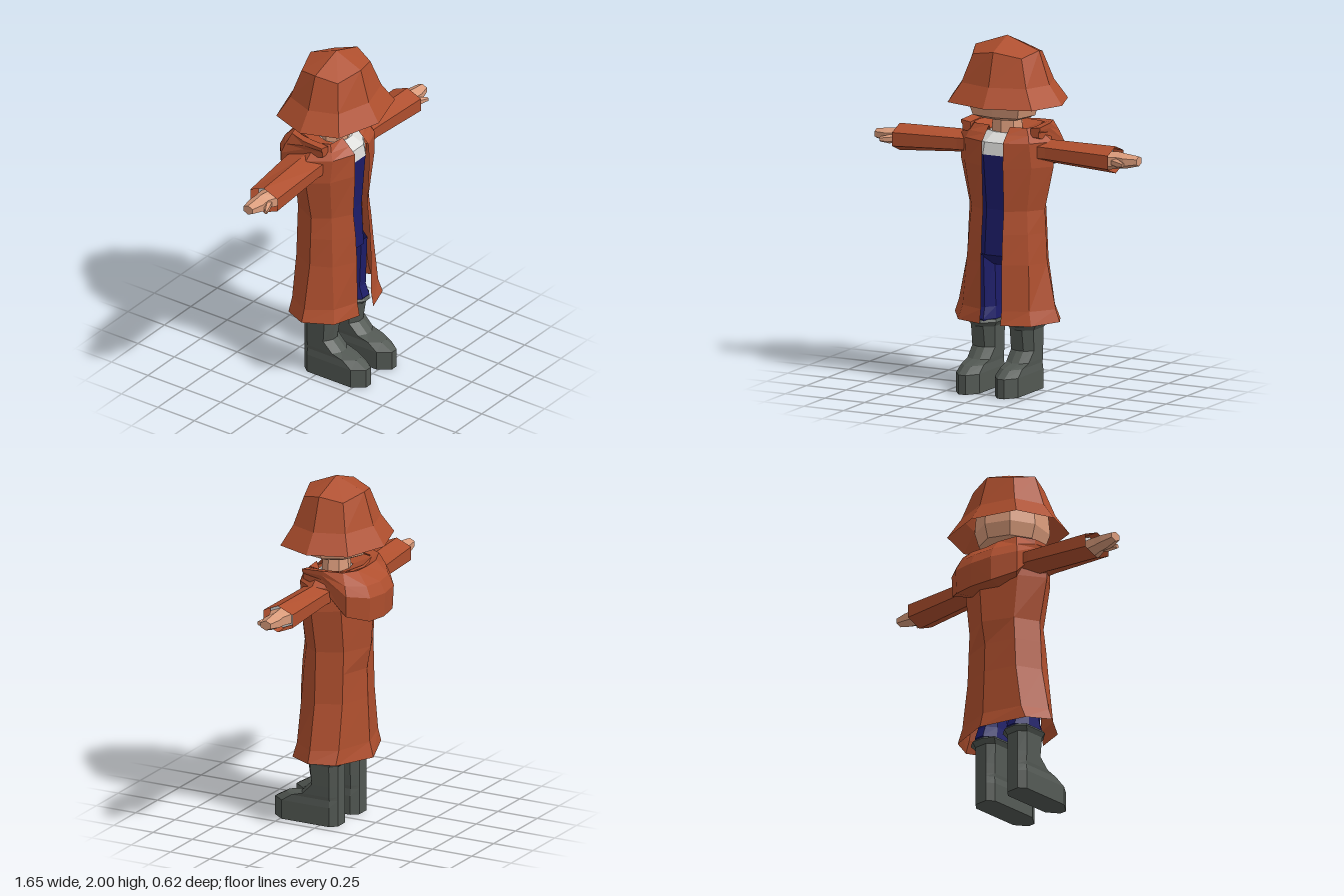
import * as THREE from 'three';

const mat = (name, color) => {
  const m = new THREE.MeshStandardMaterial({ color, side: THREE.DoubleSide, flatShading: true });
  m.name = name;
  return m;
};

// Skin a surface over rows of [x, y, z] points; closed rows wrap around.
function loft(rows, { closed = true, capStart = false, capEnd = false } = {}) {
  const pos = [];
  const tri = (a, b, c) => pos.push(...a, ...b, ...c);
  const n = rows[0].length;
  for (let j = 0; j < rows.length - 1; j++) {
    for (let i = 0; i < (closed ? n : n - 1); i++) {
      const k = (i + 1) % n;
      tri(rows[j][i], rows[j][k], rows[j + 1][k]);
      tri(rows[j][i], rows[j + 1][k], rows[j + 1][i]);
    }
  }
  const first = rows[0], last = rows[rows.length - 1];
  for (let i = 1; i < n - 1; i++) {
    if (capStart) tri(first[0], first[i + 1], first[i]);
    if (capEnd) tri(last[0], last[i], last[i + 1]);
  }
  const g = new THREE.BufferGeometry();
  g.setAttribute('position', new THREE.Float32BufferAttribute(pos, 3));
  g.computeVertexNormals();
  return g;
}

// Horizontal eight-sided ring
const ringY = (y, rx, rz, cx = 0, turn = 0) =>
  Array.from({ length: 8 }, (_, i) => {
    const t = ((i + turn) / 8) * Math.PI * 2;
    return [cx + Math.sin(t) * rx, y, Math.cos(t) * rz];
  });

// Hexagonal ring across an arm, on side s
const ringX = (s, x, ry, rz, cy = 1.355, cz = -0.005) => {
  const r = Array.from({ length: 6 }, (_, i) => {
    const t = (i / 6) * Math.PI * 2;
    return [s * x, cy + Math.cos(t) * ry, cz + Math.sin(t) * rz];
  });
  return s < 0 ? r.reverse() : r;
};

// Mirror a front-to-back half outline of [x, z] points into a full ring
const mirrorRing = (half) => [...half, ...half.slice(1, -1).reverse().map(([x, z]) => [-x, z])];

export function createModel() {
  const model = new THREE.Group();
  const coat = mat('rust coat', 0xaf4f2e);
  const skin = mat('skin', 0xd89a7a);
  const boot = mat('boot grey', 0x525853);
  const navy = mat('navy cloth', 0x1c1c68);
  const shirt = mat('shirt white', 0xdcdcda);
  const add = (name, geometry, material) => {
    const m = new THREE.Mesh(geometry, material);
    m.name = name;
    model.add(m);
  };

  // Hat: faceted bell with a raised point
  const hatOutline = mirrorRing([[0, 0.29], [0.265, 0.21], [0.345, 0], [0.265, -0.22], [0, -0.305]]);
  const hatRing = (y, k, lift = 0) =>
    hatOutline.map(([x, z], i) => [x * k, y + (i % 2 ? 0 : lift), z * k]);
  add('hat', loft([
    hatRing(1.63, 1), hatRing(1.74, 0.77), hatRing(1.9, 0.58, 0.03), hatRing(2, 0),
  ]), coat);

  // Head, squarer at the face than at the back, and neck
  const headOutline = mirrorRing([[0, 0.197], [0.16, 0.165], [0.2, 0], [0.135, -0.135], [0, -0.195]]);
  const headRing = (y, k) => headOutline.map(([x, z]) => [x * k, y, z * k]);
  add('head', loft([
    headRing(1.537, 0.6), headRing(1.56, 0.88), headRing(1.64, 1), headRing(1.76, 0.95), headRing(1.86, 0.62),
  ], { capStart: true, capEnd: true }), skin);
  add('neck', loft([ringY(1.43, 0.1, 0.08), ringY(1.56, 0.09, 0.07)]), skin);

  // Torso under the coat
  add('shirt', loft([
    ringY(1.34, 0.2, 0.16, 0, 0.5), ringY(1.41, 0.18, 0.15, 0, 0.5),
    ringY(1.46, 0.11, 0.085, 0, 0.5),
  ], { capEnd: true }), shirt);
  add('overalls', loft([
    ringY(0.7, 0.15, 0.05, 0, 0.5), ringY(0.77, 0.18, 0.15, 0, 0.5),
    ringY(1.03, 0.16, 0.14, 0, 0.5), ringY(1.34, 0.19, 0.16, 0, 0.5),
  ], { capStart: true }), navy);

  // Long open coat, turned in at the neck: [y, front z, front corner x, z, side x, back corner x, spine z]
  const coatRows = [
    [0.39, 0.207, 0.23, 0.152, 0.33, 0.26, -0.235],
    [0.47, 0.192, 0.21, 0.135, 0.305, 0.225, -0.212],
    [0.73, 0.19, 0.195, 0.115, 0.252, 0.185, -0.2],
    [0.9, 0.18, 0.185, 0.105, 0.244, 0.177, -0.195],
    [1.03, 0.165, 0.175, 0.095, 0.237, 0.17, -0.22],
    [1.28, 0.177, 0.21, 0.11, 0.292, 0.2, -0.24],
    [1.42, 0.175, 0.2, 0.12, 0.29, 0.2, -0.2],
    [1.46, 0.135, 0.185, 0.1, 0.235, 0.18, -0.19],
    [1.5, 0.09, 0.165, 0.08, 0.2, 0.15, -0.17],
    [1.465, 0.075, 0.09, 0.06, 0.1, 0.08, -0.08],
  ].map(([y, fz, cx, cz, sx, bx, bz], j, rows) => {
    const bcz = j === rows.length - 1 ? -0.06 : -0.14;
    const side = [[0.065, y, fz], [cx, y, cz], [sx, j ? y : y + 0.01, 0], [bx, y, bcz]];
    return [...side, [0, j ? y : y - 0.01, bz], ...side.map(([x, v, z]) => [-x, v, z]).reverse()];
  });
  add('coat', loft(coatRows, { closed: false }), coat);

  // Folded hood: [inner x, z, outer x, z, top, bottom, lip] from one shoulder to the spine
  const hoodSide = [
    [0.19, 0.08, 0.255, 0.08, 1.51, 1.45, 0.9],
    [0.19, -0.04, 0.26, -0.05, 1.515, 1.41, 0.8],
    [0.17, -0.12, 0.25, -0.2, 1.51, 1.27, 0.45],
    [0.09, -0.16, 0.135, -0.29, 1.5, 1.225, 0.25],
    [0, -0.17, 0, -0.31, 1.495, 1.22, 0.15],
  ];
  const hoodSlice = (s) => ([ix, iz, ox, oz, top, bottom, lip]) => [
    [0, bottom], [0, top - 0.01], [lip, top], [Math.max(lip, 0.78), top - (top - bottom) * 0.27],
    [1, top - (top - bottom) * 0.5], [0.95, bottom],
  ].map(([k, y], i) => {
    const f = lip > 0.7 && i > 3 ? 0.75 : k; // the collar leans outward over the shoulder
    return [s * (ix + (ox - ix) * f), y, iz + (oz - iz) * f];
  });
  add('hood', loft([
    ...hoodSide.map(hoodSlice(1)), ...hoodSide.slice(0, -1).reverse().map(hoodSlice(-1)),
  ], { capStart: true, capEnd: true }), coat);

  for (const s of [1, -1]) {
    const side = s > 0 ? 'left' : 'right';

    // Sleeve with recessed shirt cuff, hand and thumb
    const back = s < 0 ? 0.03 : 0;
    add(side + 'Sleeve', loft([
      ringX(s, 0.2, 0.068, 0.1 + back, 1.368, -0.005 - back),
      ringX(s, 0.28, 0.065, 0.097 + back, 1.367, -0.005 - back),
      ringX(s, 0.68, 0.077, 0.107),
    ]), coat);
    add(side + 'Cuff', loft([
      ringX(s, 0.57, 0.066, 0.09), ringX(s, 0.62, 0.067, 0.092),
    ], { capEnd: true }), shirt);
    add(side + 'Hand', loft([
      ringX(s, 0.61, 0.055, 0.078, 1.348, 0.008), ringX(s, 0.7, 0.048, 0.052),
      ringX(s, 0.75, 0.042, 0.055, 1.355, -0.005), ringX(s, 0.825, 0.028, 0.036, 1.36, -0.008),
    ], { capEnd: true }), skin);
    add(side + 'Thumb', loft([
      ringX(s, 0.67, 0.024, 0.024, 1.35, 0.025), ringX(s, 0.72, 0.025, 0.022, 1.345, 0.045),
      ringX(s, 0.765, 0.014, 0.012, 1.345, 0.068),
    ], { capEnd: true }), skin);

    // Trouser leg
    add(side + 'Leg', loft([
      ringY(0.36, 0.08, 0.1, s * 0.122, 0.5), ringY(0.395, 0.082, 0.125, s * 0.122, 0.5),
      ringY(0.46, 0.076, 0.1, s * 0.122, 0.5), ringY(0.76, 0.075, 0.11, s * 0.125, 0.5),
    ]), navy);

    // Boot: [y, toe z, shoulder z, half width, back z]
    const bootRows = [
      [0, 0.31, 0.24, 0.073, -0.1], [0.11, 0.31, 0.24, 0.073, -0.1],
      [0.15, 0.24, 0.18, 0.068, -0.1], [0.17, 0.14, 0.11, 0.07, -0.1],
      [0.23, 0.08, 0.05, 0.072, -0.1], [0.35, 0.1, 0.06, 0.075, -0.1],
      [0.375, 0.125, 0.07, 0.09, -0.125], [0.39, 0.11, 0.06, 0.08, -0.11],
    ].map(([y, fz, mz, w, bz]) => [
      [-0.022, fz], [0.022, fz], [w, mz], [w, bz + 0.04],
      [0.04, bz], [-0.04, bz], [-w, bz + 0.04], [-w, mz],
    ].map(([x, z]) => [s * 0.122 + x, y, z]));
    add(side + 'Boot', loft(bootRows, { capStart: true, capEnd: true }), boot);
  }
  return model;
}
